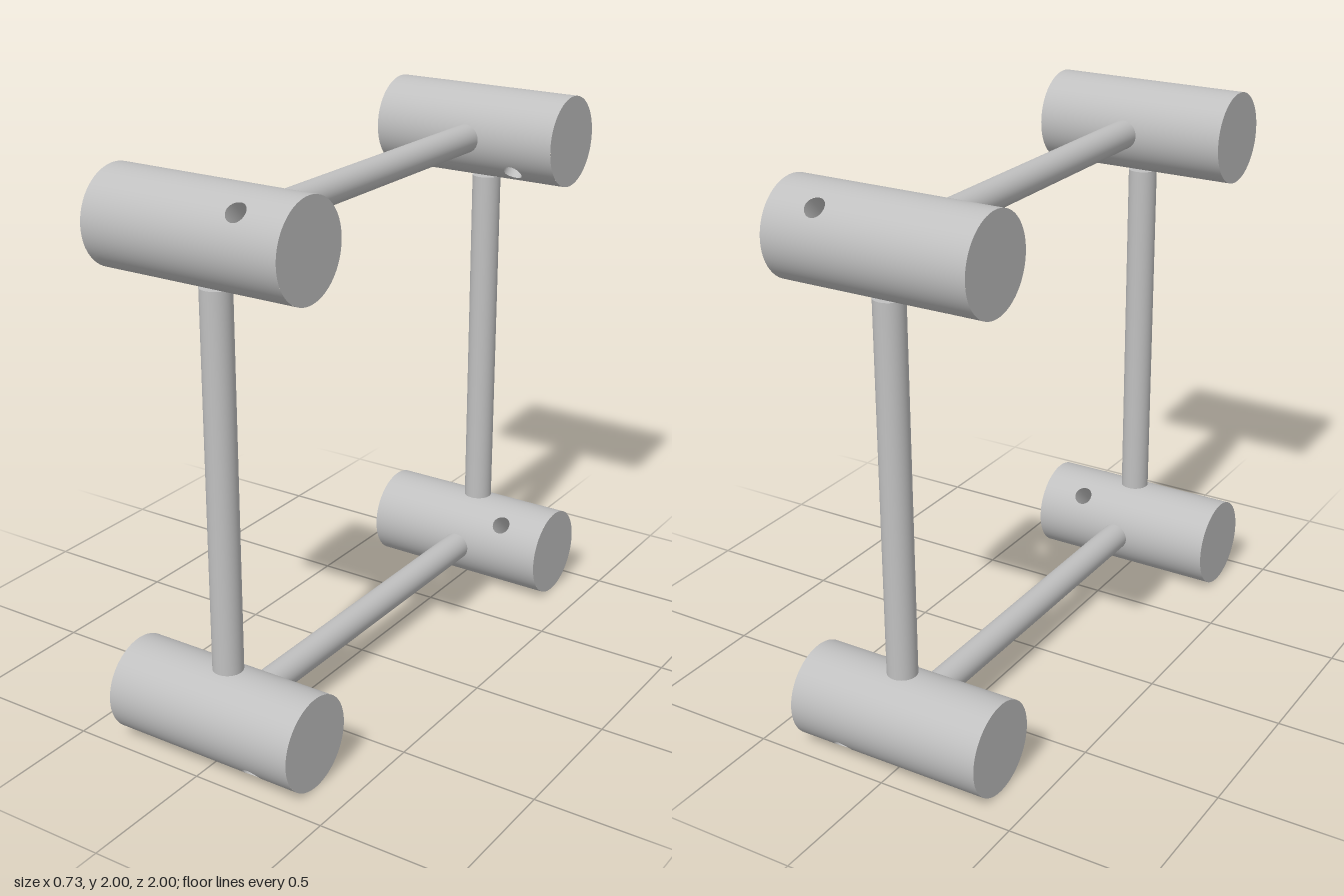
import * as THREE from 'three';
import { ParametricGeometry } from 'three/addons/geometries/ParametricGeometry.js';

const R = 0.1665;        // drum radius
const HALF = 0.367;      // half drum length
const BORE = 0.035;      // bore radius
const BORE_X = 0.192;    // bore position along the drum
const C = 1 - R;         // drum centre distance from the middle
const ROD_R = 0.053, ROD_X = 0.017, ROD_LENGTH = 1.328;

const steel = new THREE.MeshStandardMaterial({ color: 0xc0c0c0 });
steel.name = 'light grey';

function add(parent, name, geometry) {
  const mesh = new THREE.Mesh(geometry, steel);
  mesh.name = name;
  parent.add(mesh);
  return mesh;
}

// Half of the drum wall: a rectangle with a round hole, wrapped around x
function wallGeometry() {
  const g = new ParametricGeometry((u, v, p) => {
    const a = -2 * Math.PI * u - Math.PI / 4;
    const c = Math.cos(a), s = Math.sin(a), m = Math.max(Math.abs(c), Math.abs(s));
    const x = THREE.MathUtils.lerp(BORE_X + BORE * c, HALF * c / m, v);
    const t = THREE.MathUtils.lerp(Math.asin(BORE * s / R), Math.PI / 2 * s / m, v);
    p.set(x, R * Math.sin(t), R * Math.cos(t));
  }, 160, 16);
  // Exact round normals
  const pos = g.attributes.position, nor = g.attributes.normal;
  for (let i = 0; i < pos.count; i++) nor.setXYZ(i, 0, pos.getY(i) / R, pos.getZ(i) / R);
  return g;
}

// Inner wall of the bore, ending flush with the drum wall
function boreGeometry() {
  return new ParametricGeometry((u, v, p) => {
    const a = -2 * Math.PI * u, y = BORE * Math.sin(a);
    p.set(BORE_X + BORE * Math.cos(a), y, (2 * v - 1) * Math.sqrt(R * R - y * y));
  }, 48, 1);
}

export function createModel() {
  const model = new THREE.Group();
  model.name = 'rodFrame';
  const wall = wallGeometry(), bore = boreGeometry();
  const cap = new THREE.CircleGeometry(R, 64);
  const rod = new THREE.CylinderGeometry(ROD_R, ROD_R, ROD_LENGTH, 48);

  // Corner drums with a diagonal through-bore
  for (const sy of [-1, 1]) for (const sz of [-1, 1]) {
    const drum = new THREE.Group();
    drum.name = (sz > 0 ? 'front' : 'back') + (sy > 0 ? 'Top' : 'Bottom') + 'Drum';
    add(drum, 'drumWallA', wall);
    add(drum, 'drumWallB', wall).rotation.x = Math.PI;
    add(drum, 'bore', bore);
    for (const sx of [-1, 1]) {
      const end = add(drum, sx > 0 ? 'leftCap' : 'rightCap', cap);
      end.position.x = sx * HALF;
      end.rotation.y = sx * Math.PI / 2;
    }
    drum.position.set(0, 1 + sy * C, sz * C);
    drum.rotation.x = -sy * sz * Math.PI / 4;
    model.add(drum);
  }

  // Rods joining the drums
  for (const s of [-1, 1]) {
    add(model, s > 0 ? 'frontRod' : 'backRod', rod).position.set(ROD_X, 1, s * C);
    const across = add(model, s > 0 ? 'topRod' : 'bottomRod', rod);
    across.position.set(ROD_X, 1 + s * C, 0);
    across.rotation.x = Math.PI / 2;
  }
  return model;
}
